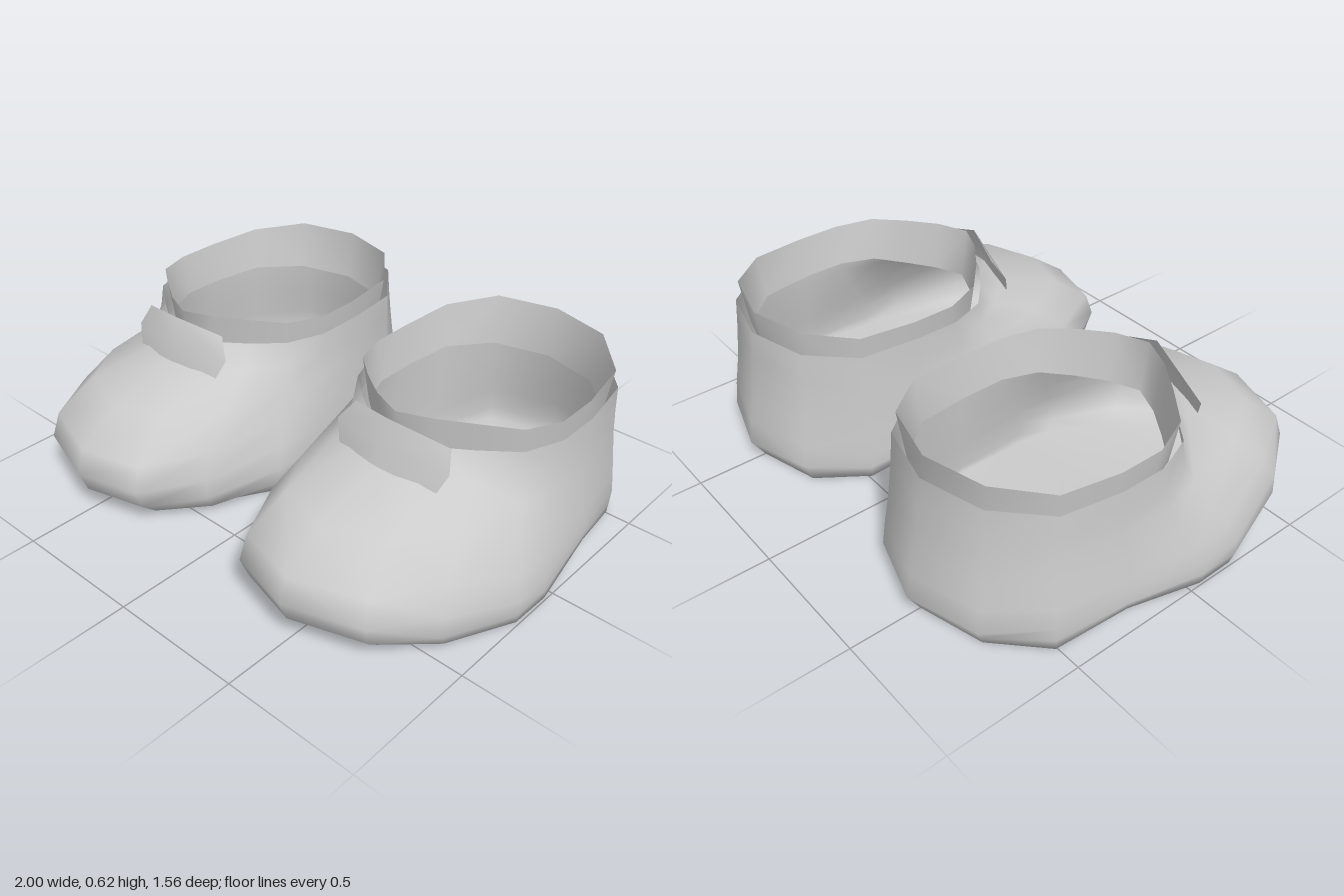
import * as THREE from 'three';

// Stations run heel -> outer side -> toe -> inner side.
// Each one: widest outline x, z, then ankle opening x, z.
const STATIONS = [
  [0.5, -0.78, 0.5, -0.71], [0.76, -0.7, 0.73, -0.65], [0.91, -0.51, 0.88, -0.49],
  [0.955, -0.25, 0.915, -0.27], [1.0, 0.05, 0.915, -0.1], [1.0, 0.21, 0.86, 0.04],
  [0.92, 0.51, 0.74, 0.13], [0.77, 0.69, 0.62, 0.21], [0.5, 0.778, 0.5, 0.26],
  [0.26, 0.715, 0.38, 0.21], [0.13, 0.52, 0.27, 0.13], [0.06, 0.21, 0.17, 0.04],
  [0.06, 0.05, 0.12, -0.1], [0.1, -0.25, 0.12, -0.27], [0.135, -0.49, 0.14, -0.49],
  [0.25, -0.7, 0.27, -0.65],
];
const N = STATIONS.length;

// Wall profiles from sole to opening: [inset from outline to opening, height]
const TOE = [[0.44, 0], [0.19, 0.03], [0.06, 0.09], [0, 0.17], [0.06, 0.26], [0.35, 0.37], [0.84, 0.44], [1, 0.52]];
const SIDE = [[0.05, 0], [0, 0.04], [0, 0.1], [0.2, 0.17], [0.5, 0.26], [0.82, 0.36], [0.95, 0.44], [1, 0.525]];
const HEEL = [[0.7, 0], [0.35, 0.04], [0, 0.08], [0.2, 0.17], [0.5, 0.27], [0.7, 0.36], [0.85, 0.44], [1, 0.54]];

const { lerp, smoothstep } = THREE.MathUtils;

function makeMesh(name, points, index, side) {
  const geometry = new THREE.BufferGeometry();
  const positions = points.flatMap(([x, y, z]) => [x * side, y, z]);
  geometry.setAttribute('position', new THREE.Float32BufferAttribute(positions, 3));
  // Mirrored parts need their corner order reversed
  if (side < 0) {
    for (let i = 0; i < index.length; i += 3) [index[i], index[i + 1]] = [index[i + 1], index[i]];
  }
  geometry.setIndex(index);
  geometry.computeVertexNormals();
  const mesh = new THREE.Mesh(
    geometry,
    new THREE.MeshStandardMaterial({ color: 0xcccccc, side: THREE.DoubleSide })
  );
  mesh.name = name;
  return mesh;
}

// Faces joining stacked closed rings of N points
function ringFaces(rings) {
  const index = [];
  for (let k = 0; k < rings - 1; k++) {
    for (let i = 0; i < N; i++) {
      const j = (i + 1) % N;
      const a = k * N + i, b = k * N + j, c = b + N, d = a + N;
      index.push(a, d, c, a, c, b);
    }
  }
  return index;
}

// Shoe body: walls, toe cap and arched sole in one smooth surface
function upper(side) {
  const points = [];
  for (let k = 0; k < TOE.length; k++) {
    for (const [bx, bz, ox, oz] of STATIONS) {
      const toe = smoothstep(bz, 0.1, 0.72);
      const heel = smoothstep(-bz, 0.4, 0.72);
      const blend = (n) => lerp(lerp(SIDE[k][n], TOE[k][n], toe), HEEL[k][n], heel);
      const s = blend(0);
      const arch = 0.05 * Math.max(0, 1 - Math.abs(bz + 0.25) / (bz < -0.25 ? 0.25 : 0.35));
      const lift = arch * Math.max(0, 1 - k / 3);
      points.push([lerp(bx, ox, s), blend(1) + lift, lerp(bz, oz, s)]);
    }
  }
  const index = ringFaces(TOE.length);
  for (let i = 0; i < N / 2; i++) {
    const p = (N - i) % N, q = N - i - 1;
    if (i > 0) index.push(p, i, i + 1);
    if (q !== i + 1) index.push(p, i + 1, q);
  }
  return makeMesh('upper', points, index, side);
}

// Ankle collar: a band rising out of the opening, leaning in towards its foot
function collar(side) {
  const points = [];
  for (const [scale, top] of [[0.91, 0], [0.965, 1]]) {
    for (const [, , x, z] of STATIONS) {
      const rim = 0.587 + 0.03 * smoothstep(z, -0.1, 0.24) + 0.03 * smoothstep(-z, 0.42, 0.62);
      points.push([0.51 + (x - 0.51) * scale, top ? rim : 0.43, -0.23 + (z + 0.23) * scale]);
    }
  }
  return makeMesh('collar', points, ringFaces(2), side);
}

// Tongue: a thin curved tab standing at the front of the opening
function tongue(side) {
  const points = [
    [0.31, 0.405, 0.29], [0.5, 0.42, 0.34], [0.7, 0.405, 0.29],
    [0.27, 0.5, 0.255], [0.5, 0.52, 0.312], [0.735, 0.49, 0.26],
    [0.32, 0.57, 0.222], [0.5, 0.608, 0.28], [0.71, 0.56, 0.222],
  ];
  const index = [];
  for (const a of [0, 1, 3, 4]) index.push(a, a + 1, a + 4, a, a + 4, a + 3);
  return makeMesh('tongue', points, index, side);
}

export function createModel() {
  const model = new THREE.Group();
  model.name = 'pairOfShoes';
  for (const side of [1, -1]) {
    const shoe = new THREE.Group();
    shoe.name = side > 0 ? 'leftShoe' : 'rightShoe';
    shoe.add(upper(side), collar(side), tongue(side));
    model.add(shoe);
  }
  return model;
}
